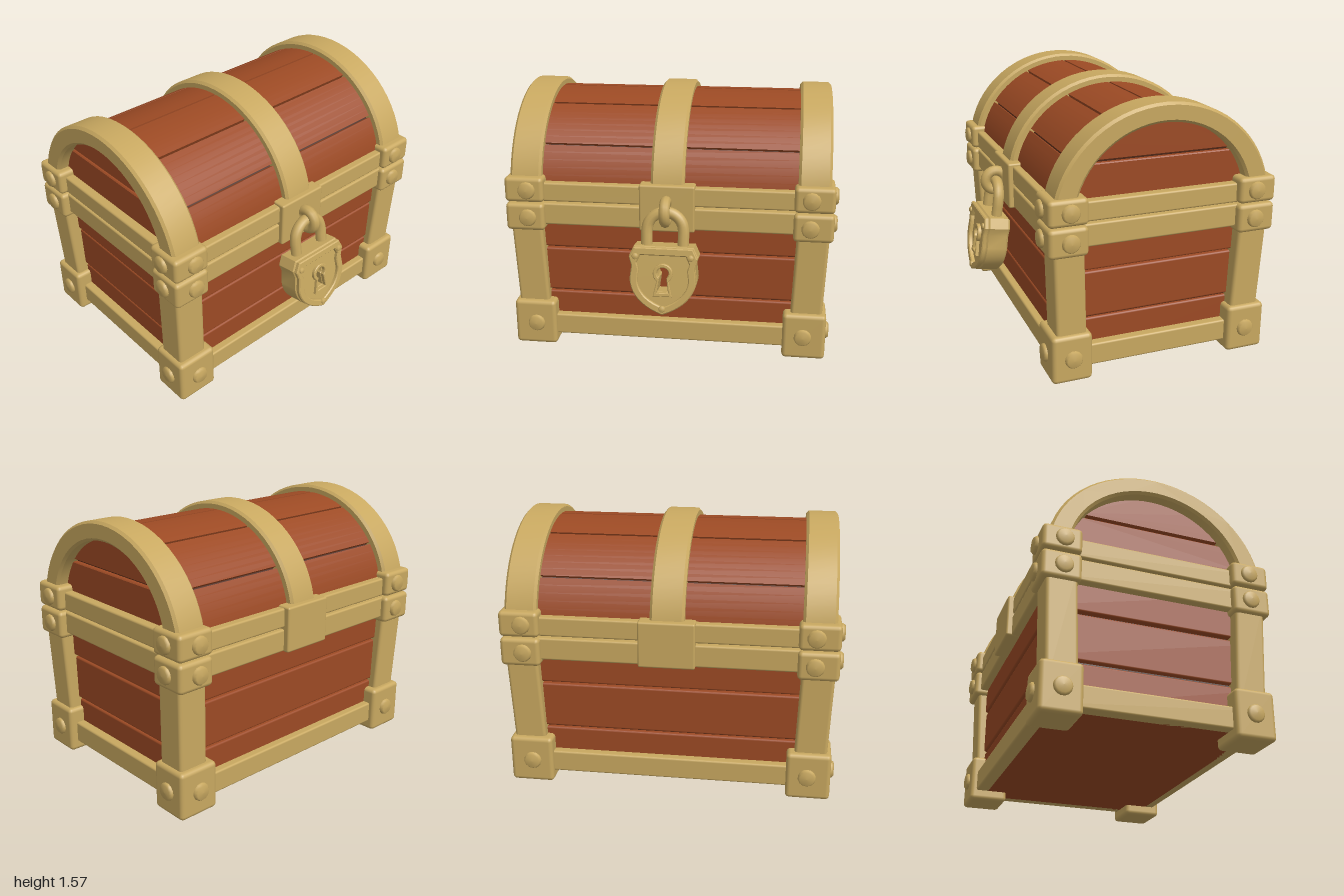
import * as THREE from 'three';
import { toCreasedNormals } from 'three/addons/utils/BufferGeometryUtils.js';
import { RoundedBoxGeometry } from 'three/addons/geometries/RoundedBoxGeometry.js';

const mat = (name, color) => {
  const m = new THREE.MeshStandardMaterial({ color });
  m.name = name;
  return m;
};

export function createModel() {
  const gold = mat('aged gold', 0xc8a860);
  const wood = mat('red brown wood', 0x9c4a24);
  const groove = mat('dark groove', 0x4a2312);

  const root = new THREE.Group();
  root.name = 'treasureChest';
  const chest = new THREE.Group();
  chest.name = 'chest';
  chest.position.z = -0.1;
  root.add(chest);

  const add = (parent, name, geo, material, x = 0, y = 0, z = 0) => {
    const m = new THREE.Mesh(geo, material);
    m.name = name;
    m.position.set(x, y, z);
    parent.add(m);
    return m;
  };
  const box = (w, h, d, r = 0.02) => new RoundedBoxGeometry(w, h, d, 2, r);
  const extrude = (shape, depth, bevel, curveSegments = 10) => {
    const g = new THREE.ExtrudeGeometry(shape, {
      depth: depth - 2 * bevel, bevelEnabled: bevel > 0, bevelThickness: bevel,
      bevelSize: bevel, bevelOffset: -bevel, bevelSegments: 1, curveSegments,
    });
    g.translate(0, 0, bevel - depth / 2);
    return toCreasedNormals(g, 0.5);
  };
  // The walls lean slightly outward towards the top
  const lean = (y) => 0.972 + 0.035 * y;

  // Body: wooden courses stacked round a dark core
  add(chest, 'bodyCore', box(1.68, 0.84, 1.12, 0.01), groove, 0, 0.5, 0);
  [[0.06, 0.333], [0.347, 0.623], [0.637, 0.94]].forEach(([a, b]) => {
    const y = (a + b) / 2;
    add(chest, 'bodyPlank', box(1.76 * lean(y), b - a, 1.2 * lean(y), 0.012), wood, 0, y, 0);
  });

  // Lid: elliptical section about y = 0.95
  const CY = 0.95, RX = 0.615, RY = 0.575;
  const arc = (rx, ry, a, b, n) => Array.from({ length: n + 1 }, (_, i) => {
    const t = a + (b - a) * i / n;
    return new THREE.Vector2(rx * Math.cos(t), ry * Math.sin(t));
  });
  const lidPart = (name, points, length, bevel, material, x = 0) => {
    const g = extrude(new THREE.Shape(points), length, bevel);
    g.rotateY(Math.PI / 2);
    return add(chest, name, g, material, x, CY, 0);
  };
  lidPart('lidCore', arc(RX - 0.03, RY - 0.03, 0, Math.PI, 32), 1.69, 0, groove);
  const cuts = [0, 0.58, 1.11, Math.PI / 2, Math.PI - 1.11, Math.PI - 0.58, Math.PI];
  for (let i = 0; i < 6; i++) {
    const a = cuts[i] + 0.011, b = cuts[i + 1] - 0.011;
    lidPart('lidPlank', [...arc(RX, RY, a, b, 7), ...arc(RX - 0.06, RY - 0.06, b, a, 7)],
      1.74, 0.006, wood);
  }
  // Lid end boards, split by one horizontal groove
  const split = Math.asin(0.3 / 0.55), split2 = Math.asin(0.316 / 0.55);
  for (const s of [-1, 1]) {
    lidPart('lidEndLower', [...arc(0.585, 0.55, 0, split, 6),
      ...arc(0.585, 0.55, Math.PI - split, Math.PI, 6)], 0.05, 0.006, wood, s * 0.85);
    lidPart('lidEndUpper', arc(0.585, 0.55, split2, Math.PI - split2, 16), 0.05, 0.006, wood, s * 0.85);
  }

  // Three gold hoops over the lid
  const hoop = [...arc(0.66, 0.62, 0, Math.PI, 32), ...arc(0.53, 0.508, Math.PI, 0, 32)];
  for (const s of [-1, 1]) lidPart('endHoop', hoop, 0.19, 0.015, gold, s * 0.855);
  lidPart('middleHoop', hoop, 0.2, 0.015, gold);

  // Horizontal bands round all four sides
  const bands = [
    ['bottomBand', 0.06, 0.192, 0.635, 0.915],
    ['bodyRimBand', 0.797, 0.932, 0.65, 0.93],
    ['lidRimBand', 0.944, 1.06, 0.65, 0.93],
  ];
  for (const [name, y0, y1, z, x] of bands) {
    for (const s of [-1, 1]) {
      add(chest, name, box(1.7, y1 - y0, 0.09, 0.012), gold, 0, (y0 + y1) / 2, s * (z - 0.045));
      add(chest, name + 'End', box(0.09, y1 - y0, 1.16, 0.012), gold, s * (x - 0.045), (y0 + y1) / 2, 0);
    }
  }

  // Corner posts, corner caps and their bolts
  const boltGeo = new THREE.LatheGeometry([[0.054, 0], [0.052, 0.016], [0.042, 0.028], [0, 0.031]]
    .map(([x, y]) => new THREE.Vector2(x, y)), 14);
  const caps = [
    // name, y0, y1, outer x, width x, outer z, width z
    ['footCap', 0.0, 0.29, 0.963, 0.26, 0.672, 0.24],
    ['bodyCap', 0.765, 0.935, 0.976, 0.235, 0.688, 0.23],
    ['lidCap', 0.943, 1.097, 0.976, 0.235, 0.688, 0.23],
  ];
  for (const sx of [-1, 1]) {
    for (const sz of [-1, 1]) {
      const post = box(0.19, 0.62, 0.18, 0.02);
      const p = post.attributes.position;
      for (let i = 0; i < p.count; i++) {
        const k = p.getY(i) * 0.035;
        p.setX(i, p.getX(i) + sx * k);
        p.setZ(i, p.getZ(i) + sz * k);
      }
      add(chest, 'cornerPost', post, gold, sx * 0.85, 0.5, sz * 0.555);

      for (const [name, y0, y1, ox, w, oz, d] of caps) {
        const y = (y0 + y1) / 2, cx = sx * (ox - w / 2), cz = sz * (oz - d / 2);
        add(chest, name, box(w, y1 - y0, d, 0.025), gold, cx, y, cz);
        const f = add(chest, 'bolt', boltGeo, gold, sx * (ox - 0.137), y, sz * (oz - 0.006));
        f.rotation.x = sz * Math.PI / 2;
        const e = add(chest, 'bolt', boltGeo, gold, sx * (ox - 0.007), y, sz * (oz - 0.125));
        e.rotation.z = -sx * Math.PI / 2;
      }
    }
  }

  // Hasp plate in front, hinge plate behind
  add(chest, 'haspPlate', box(0.33, 0.285, 0.1, 0.012), gold, 0, 0.935, 0.63);
  add(chest, 'hingePlate', box(0.33, 0.275, 0.1, 0.012), gold, 0, 0.932, -0.635);
  const ring = add(root, 'haspRing', new THREE.TorusGeometry(0.062, 0.032, 10, 20), gold, 0, 0.935, 0.622);
  ring.rotation.y = Math.PI / 2;

  // Padlock, hanging with its tip swung forward
  const lock = new THREE.Group();
  lock.name = 'padlock';
  lock.position.set(0, 0.545, 0.69);
  lock.rotation.x = -0.16;
  root.add(lock);

  const shield = (Kind, k) => {
    const s = new Kind(), P = (x, y) => [x * k, y * k];
    s.moveTo(...P(0, -0.205));
    s.quadraticCurveTo(...P(0.19, -0.135), ...P(0.197, 0.01));
    s.lineTo(...P(0.187, 0.09));
    s.lineTo(...P(0.203, 0.14));
    s.lineTo(...P(0.175, 0.2));
    s.lineTo(...P(-0.175, 0.2));
    s.lineTo(...P(-0.203, 0.14));
    s.lineTo(...P(-0.187, 0.09));
    s.lineTo(...P(-0.197, 0.01));
    s.quadraticCurveTo(...P(-0.19, -0.135), ...P(0, -0.205));
    return s;
  };
  // Keyhole outline: round top with a flared slot; g widens it
  const keyhole = (Kind, g) => {
    const s = new Kind(), r = 0.036 + g;
    s.moveTo(-0.034 - g, -0.07 - g);
    s.lineTo(0.034 + g, -0.07 - g);
    s.lineTo(r * Math.cos(-0.9), 0.045 + r * Math.sin(-0.9));
    s.absarc(0, 0.045, r, -0.9, Math.PI + 0.9, false);
    s.closePath();
    return s;
  };
  const body = shield(THREE.Shape, 1);
  body.holes.push(keyhole(THREE.Path, 0));
  add(lock, 'lockBody', extrude(body, 0.14, 0.012), gold, 0, 0, -0.012);
  const rim = shield(THREE.Shape, 0.985);
  rim.holes.push(shield(THREE.Path, 0.76));
  add(lock, 'lockRim', extrude(rim, 0.03, 0.006), gold, 0, 0, 0.067);
  const plate = keyhole(THREE.Shape, 0.022);
  plate.holes.push(keyhole(THREE.Path, 0));
  add(lock, 'keyholeSurround', extrude(plate, 0.03, 0.004), gold, 0, 0, 0.064);
  for (const [x, y] of [[-0.162, 0.145], [0.162, 0.145], [0, -0.165]]) {
    const rivet = add(lock, 'lockRivet', boltGeo, gold, x, y, 0.078);
    rivet.rotation.x = Math.PI / 2;
    rivet.scale.set(0.36, 0.5, 0.36);
  }

  // Shackle: two legs joined by a half circle
  const pts = [[0.108, 0.17], [0.108, 0.23]];
  for (let i = 0; i <= 8; i++) {
    const t = Math.PI * i / 8;
    pts.push([0.108 * Math.cos(t), 0.285 + 0.108 * Math.sin(t)]);
  }
  pts.push([-0.108, 0.23], [-0.108, 0.17]);
  const path = new THREE.CatmullRomCurve3(pts.map(([x, y]) => new THREE.Vector3(x, y, 0)));
  add(lock, 'shackle', new THREE.TubeGeometry(path, 36, 0.034, 10), gold, 0, 0, -0.01);

  return root;
}
